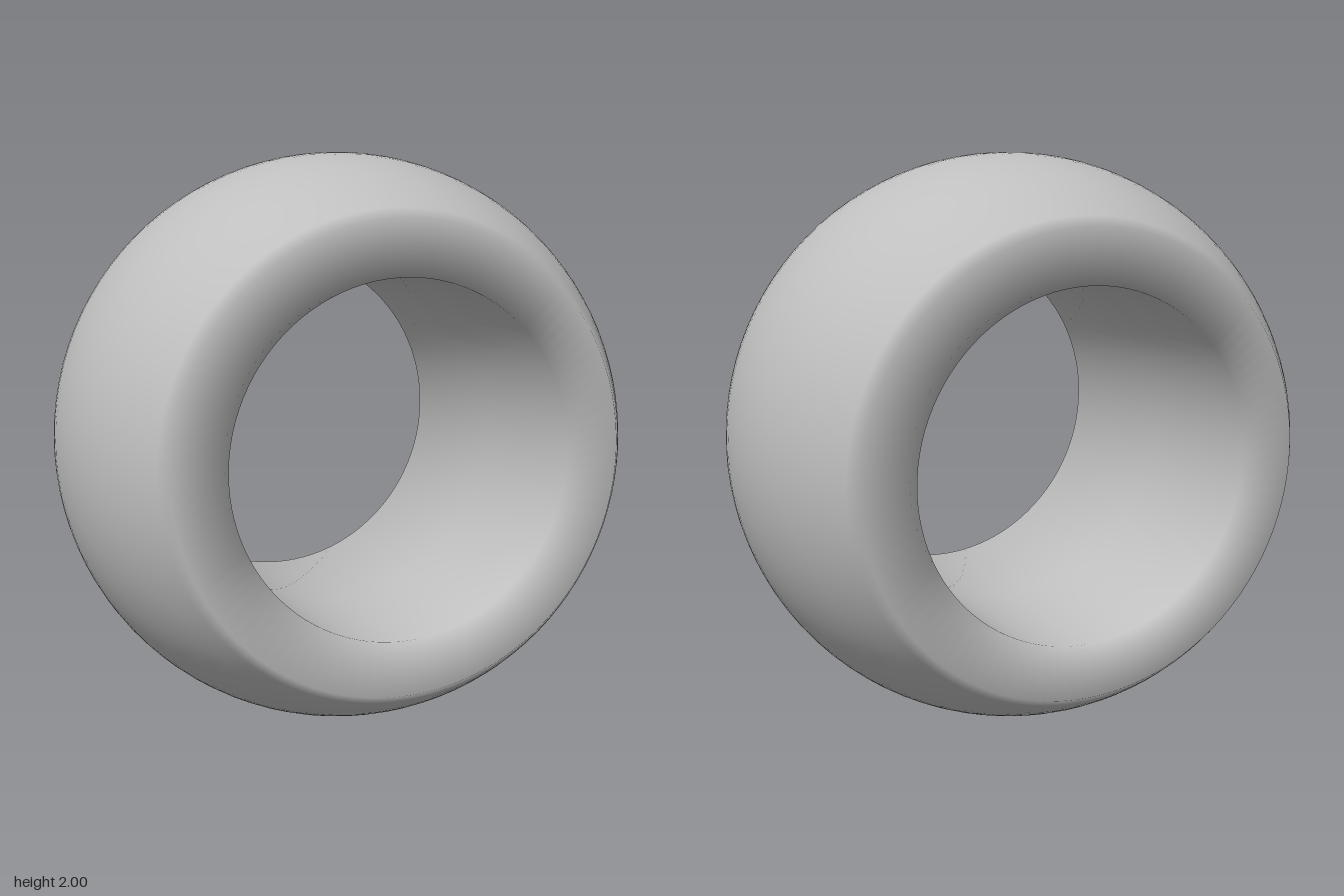
import * as THREE from 'three';

const RADIUS = 1;        // spherical outside
const HALF_WIDTH = 0.605; // distance from the centre to each flat end
const BORE = 0.605;      // radius of the through hole

export function createModel() {
  const group = new THREE.Group();
  group.name = 'sphericalBead';
  const grey = new THREE.MeshStandardMaterial({ color: 0xbfbfbf });
  grey.name = 'grey';

  // Cross-section: bore, flat end, spherical outside, flat end, bore
  const profile = [new THREE.Vector2(BORE, 0), new THREE.Vector2(BORE, -HALF_WIDTH)];
  const limit = Math.asin(HALF_WIDTH / RADIUS);
  const steps = 24;
  for (let i = 0; i <= steps; i++) {
    const a = limit * (2 * i / steps - 1);
    profile.push(new THREE.Vector2(RADIUS * Math.cos(a), RADIUS * Math.sin(a)));
  }
  profile.push(new THREE.Vector2(BORE, HALF_WIDTH), new THREE.Vector2(BORE, 0));

  // Ring turned about its axis, which leans slightly up and to one side
  const ring = new THREE.Mesh(new THREE.LatheGeometry(profile, 96), grey);
  ring.name = 'boredSphere';
  const axis = new THREE.Vector3(-0.028, 0.044, 1).normalize();
  ring.quaternion.setFromUnitVectors(new THREE.Vector3(0, 1, 0), axis);
  ring.position.y = RADIUS;
  group.add(ring);
  return group;
}
